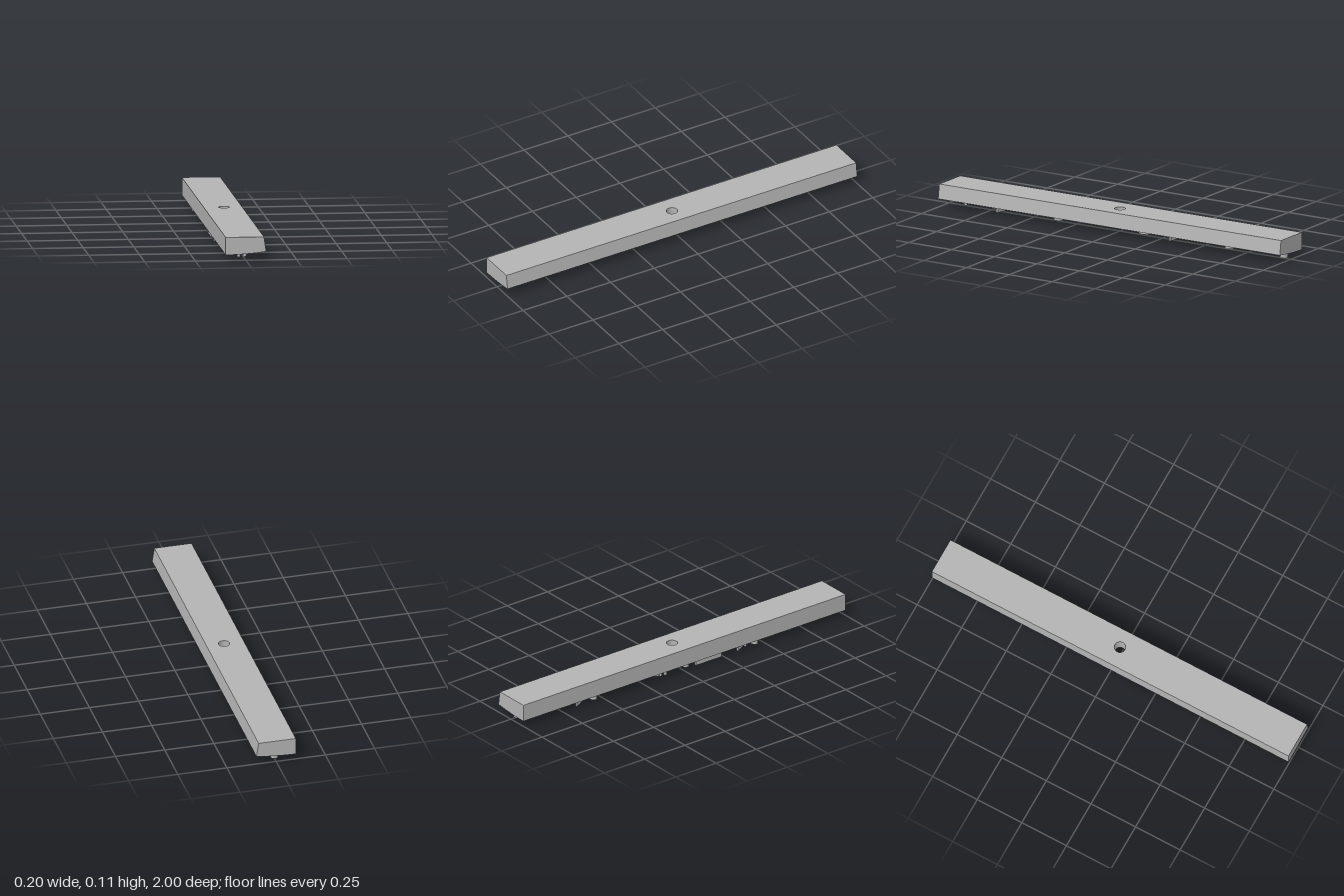
import * as THREE from 'three';
import { ParametricGeometry } from 'three/addons/geometries/ParametricGeometry.js';

const TOP = 0.115, HOLE = 0.028, DROP = 0.028, EMBED = 0.003;

// Gently curved underside
const underside = (x) => 0.028 + 0.014 * ((x + 0.1) / 0.2) ** 2;

// Move a geometry modelled around y = 0 onto the curved underside
function drape(geometry) {
  const p = geometry.attributes.position;
  for (let i = 0; i < p.count; i++) p.setY(i, p.getY(i) + underside(p.getX(i)));
  geometry.computeVertexNormals();
  return geometry;
}

export function createModel() {
  const group = new THREE.Group();
  const grey = new THREE.MeshStandardMaterial({ color: 0xb3b3b3, side: THREE.DoubleSide });
  grey.name = 'plain grey';

  const add = (name, geometry, parent = group) => {
    const mesh = new THREE.Mesh(geometry, grey);
    mesh.name = name;
    parent.add(mesh);
    return mesh;
  };
  const sheet = (name, f, nu, nv) =>
    add(name, new ParametricGeometry((u, v, t) => t.set(...f(u, v)), nu, nv));

  // Top and underside on both sides of the drilled middle
  for (const [z0, z1] of [[-1, -0.1], [0.1, 1]]) {
    sheet('topFace', (u, v) => [0.089 - 0.189 * u, TOP, z0 + (z1 - z0) * v], 1, 1);
    sheet('underside', (u, v) => {
      const x = -0.1 + 0.2 * u;
      return [x, underside(x), z0 + (z1 - z0) * v];
    }, 12, 1);
  }

  // Middle square blends from the round hole out to straight edges
  const polar = (u, v, right) => {
    const a = u * Math.PI * 2, c = Math.cos(a), s = Math.sin(a);
    const m = Math.max(Math.abs(c), Math.abs(s));
    const ox = (c / m) * (c > 0 ? right : 0.1), oz = (s / m) * 0.1;
    return [HOLE * c + (ox - HOLE * c) * v, HOLE * s + (oz - HOLE * s) * v];
  };
  sheet('topAroundHole', (u, v) => {
    const [x, z] = polar(u, v, 0.089);
    return [x, TOP, z];
  }, 48, 1);
  sheet('undersideAroundHole', (u, v) => {
    const [x, z] = polar(1 - u, v, 0.1);
    return [x, underside(x), z];
  }, 48, 5);
  sheet('holeWall', (u, v) => {
    const a = u * Math.PI * 2, x = HOLE * Math.cos(a), y0 = underside(x);
    return [x, y0 + (TOP - y0) * v, HOLE * Math.sin(a)];
  }, 48, 1);

  // Long walls, one upright and one slanted
  sheet('uprightWall', (u, v) => [-0.1, 0.028 + (TOP - 0.028) * v, -1 + 2 * u], 1, 1);
  sheet('slantedWall', (u, v) => [0.1 - 0.011 * v, 0.042 + (TOP - 0.042) * v, 1 - 2 * u], 1, 1);

  // End caps
  const profile = new THREE.Shape();
  profile.moveTo(0.089, TOP).lineTo(-0.1, TOP);
  for (let i = 0; i <= 12; i++) {
    const x = -0.1 + (0.2 * i) / 12;
    profile.lineTo(x, underside(x));
  }
  add('frontEnd', new THREE.ShapeGeometry(profile)).position.z = 1;
  add('backEnd', new THREE.ShapeGeometry(profile)).position.z = -1;

  // Raised details under the bar
  const details = new THREE.Group();
  details.name = 'undersideDetails';
  group.add(details);
  const height = DROP + EMBED, middle = (EMBED - DROP) / 2;

  const rib = (x0, z0, x1, z1, width = 0.01) => {
    const g = new THREE.BoxGeometry(Math.hypot(x1 - x0, z1 - z0), height, width, 4);
    g.rotateY(-Math.atan2(z1 - z0, x1 - x0));
    g.translate((x0 + x1) / 2, middle, (z0 + z1) / 2);
    add('rib', drape(g), details);
  };
  const peg = (x, z, r) => {
    const g = new THREE.CylinderGeometry(r, r, height, 16);
    add('peg', drape(g.translate(x, middle, z)), details);
  };
  const curvedRib = (x, z, r, from, to, width = 0.01) => {
    const s = new THREE.Shape();
    s.absarc(0, 0, r, from, to, false);
    s.absarc(0, 0, r - width, to, from, true);
    const g = new THREE.ExtrudeGeometry(s, { depth: height, bevelEnabled: false, curveSegments: 16 });
    g.rotateX(Math.PI / 2).translate(x, EMBED, z);
    add('curvedRib', drape(g), details);
  };

  // Cross ribs and the long rib
  rib(0.062, 0.68, -0.062, 0.687);
  rib(0.05, -0.325, -0.05, -0.315);
  rib(-0.083, 0.08, -0.083, 0.24);

  // Pegs
  peg(0, -0.96, 0.019);
  peg(-0.062, 0.037, 0.016);
  peg(0.005, 0.9, 0.008);
  peg(-0.025, 0.9, 0.008);

  // Arch with small feet
  curvedRib(-0.03, -0.13, 0.04, Math.PI * 0.85, Math.PI * 2.1);
  peg(-0.07, -0.125, 0.008);
  peg(-0.075, -0.1, 0.008);

  // Two matching clusters
  for (const z of [-0.59, 0.41]) {
    curvedRib(-0.005, z - 0.045, 0.025, Math.PI, Math.PI * 2.1);
    rib(-0.045, z + 0.005, -0.085, z - 0.07);
    curvedRib(-0.065, z + 0.052, 0.02, Math.PI * 0.9, Math.PI * 2.2);
  }
  peg(-0.064, 0.405, 0.008);

  return group;
}
